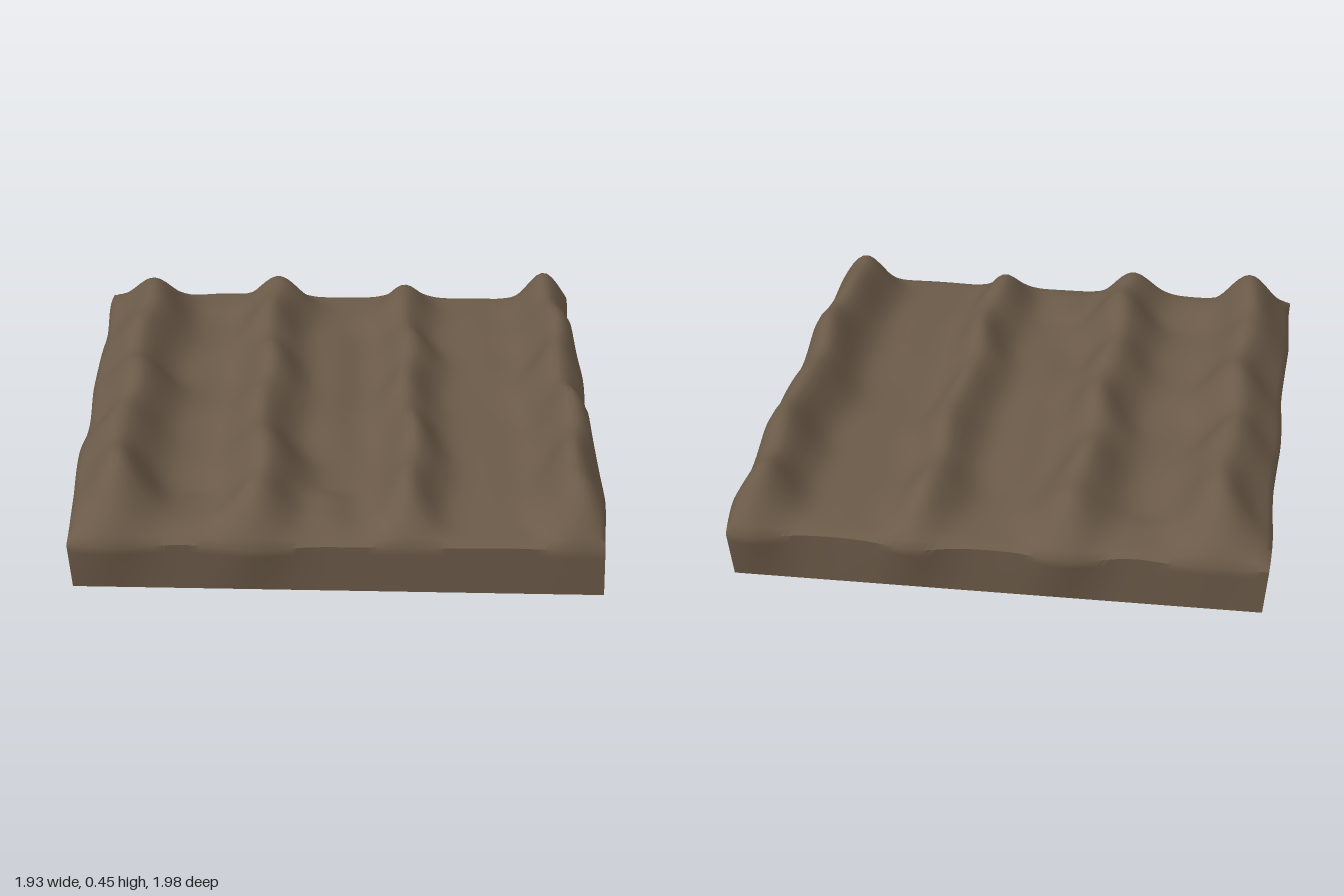
import * as THREE from 'three';
import { mergeVertices, toCreasedNormals } from 'three/addons/utils/BufferGeometryUtils.js';

const lerp = THREE.MathUtils.lerp;
const bell = (d, w) => Math.exp(-((d / w) ** 2));

// Furrow ridges: centre x, half width, height, wobble phase, bulge at back and front ends
const ridges = [
  { x: -0.77, w: 0.125, h: 0.185, phase: 0.4, back: 0.005, front: 0.025 },
  { x: -0.27, w: 0.12, h: 0.17, phase: 2.1, back: 0.035, front: 0.03 },
  { x: 0.265, w: 0.1, h: 0.135, phase: 4.0, back: 0.035, front: 0.0 },
  { x: 0.85, w: 0.105, h: 0.185, phase: 5.2, back: 0.04, front: 0.005 },
];

// Low mounds in the furrows: x, z, half width, half length, height
const mounds = [
  [-0.53, 0.0, 0.12, 0.6, 0.018], [-0.5, -0.82, 0.11, 0.12, 0.018], [-0.5, 0.8, 0.12, 0.13, 0.018],
  [-0.02, -0.1, 0.1, 0.48, 0.03], [-0.02, 0.76, 0.09, 0.12, 0.03],
  [0.58, -0.55, 0.13, 0.36, 0.012], [0.58, 0.55, 0.13, 0.36, 0.012],
];

function soilHeight(x, z, v) {
  let y = 0.228 - 0.013 * x;
  // ridges round off towards both ends of the plot
  const end = Math.sin(Math.min(1, (1 - Math.abs(v)) / 0.22) * Math.PI / 2);
  for (const r of ridges) {
    const cx = r.x + 0.014 * Math.sin(z * 9 + r.phase) + 0.01 * z;
    const lumps = 1 + 0.07 * Math.sin(z * 18 + r.phase * 2) + 0.05 * Math.sin(z * 11 + r.phase);
    const w = r.w * (1 + 0.07 * Math.sin(z * 15 + r.phase * 3));
    y += (r.h + 0.015 * z) * lumps * end * bell(x - cx, w);
  }
  for (const [mx, mz, w, l, h] of mounds) {
    y += h * Math.exp(-(((x - mx) / w) ** 2) - ((z - mz) / l) ** 4);
  }
  return y;
}

function plotGeometry() {
  const geo = new THREE.BoxGeometry(2, 1, 2, 88, 6, 88);
  geo.deleteAttribute('uv');
  geo.deleteAttribute('normal');
  const p = geo.attributes.position;
  for (let i = 0; i < p.count; i++) {
    const u = p.getX(i), v = p.getZ(i), t = p.getY(i) + 0.5;
    const a = (u + 1) / 2, b = (v + 1) / 2;

    // skewed outline with slightly wavy, outward leaning sides
    const left = lerp(-0.955, -0.905, b) - 0.012 * t + 0.006 * t * Math.sin(v * 9);
    const right = lerp(0.925, 0.95, b) + 0.01 * t * Math.sin(v * 8 + 2.5);
    const x = lerp(left, right, a);
    let back = lerp(-0.9, -0.945, a) - 0.008 * t;
    let front = lerp(0.955, 0.915, a) + 0.008 * t;
    for (const r of ridges) {
      back -= r.back * t * bell(x - r.x, 0.12);
      front += r.front * t * bell(x - r.x, 0.13);
    }
    const z = lerp(back, front, b);

    // gently tilted underside, softened upper rim
    const base = 0.028 - 0.02 * x;
    const rim = 0.012 * bell(1 - Math.max(Math.abs(u), Math.abs(v)), 0.02);
    p.setXYZ(i, x, lerp(base, soilHeight(x, z, v) - rim, t), z);
  }
  return toCreasedNormals(mergeVertices(geo, 1e-5), 1.0);
}

export function createModel() {
  const group = new THREE.Group();
  group.name = 'ploughedField';
  const soil = new THREE.Mesh(plotGeometry(), new THREE.MeshStandardMaterial({ color: 0x6b5a48 }));
  soil.name = 'soilBedWithRidges';
  group.add(soil);

  // rest the lowest corner on the ground and centre the plot
  const box = new THREE.Box3().setFromObject(soil);
  const c = box.getCenter(new THREE.Vector3());
  soil.position.set(-c.x, -box.min.y, -c.z);
  return group;
}
